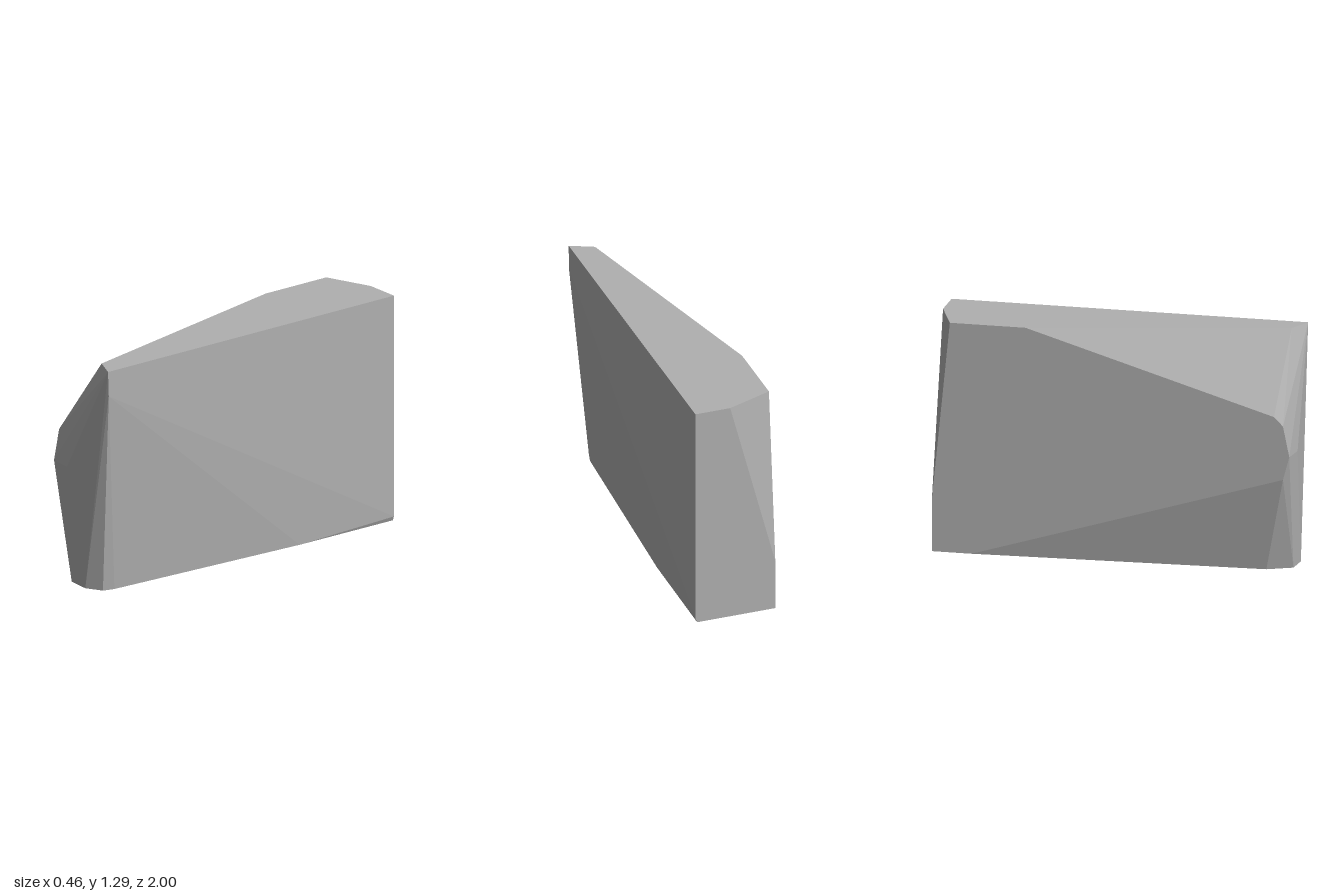
import * as THREE from 'three';
import { ConvexGeometry } from 'three/addons/geometries/ConvexGeometry.js';

// A tall, flat-sided stone slab with chipped corners
export function createModel() {
  const group = new THREE.Group();
  group.name = 'stoneSlab';
  const stone = new THREE.MeshStandardMaterial({ color: 0xb0b0b0 });
  stone.name = 'grey stone';

  const W = 0.23, H = 1.29;
  const corners = [
    // flat top
    [W, H, -1], [0.03, H, -1], [-W, H, -0.9], [-W, H, -0.48], [0.1, H, 0.92], [W, H, 0.98],
    // broken front left shoulder
    [-W, 0.88, 0.9], [-W, 0.83, 0.95], [-W, 0.66, 0.985], [-0.1, 0.66, 1], [-W, 0.53, 0.95],
    // front right edge
    [W, 1.15, 0.975],
    // back edges
    [-W, 0.29, -1], [W, 0.025, -1],
    // base outline
    [0.22, 0, -1], [-W, 0, -1], [-W, 0, -0.78], [-0.155, 0, 0.84], [-0.09, 0, 0.975],
    [0.04, 0, 0.985], [0.13, 0, 0.935], [0.148, 0, 0.87], [0.215, 0, -0.36],
  ];

  const slab = new THREE.Mesh(
    new ConvexGeometry(corners.map((c) => new THREE.Vector3(...c))),
    stone
  );
  slab.name = 'slab';
  group.add(slab);
  return group;
}
